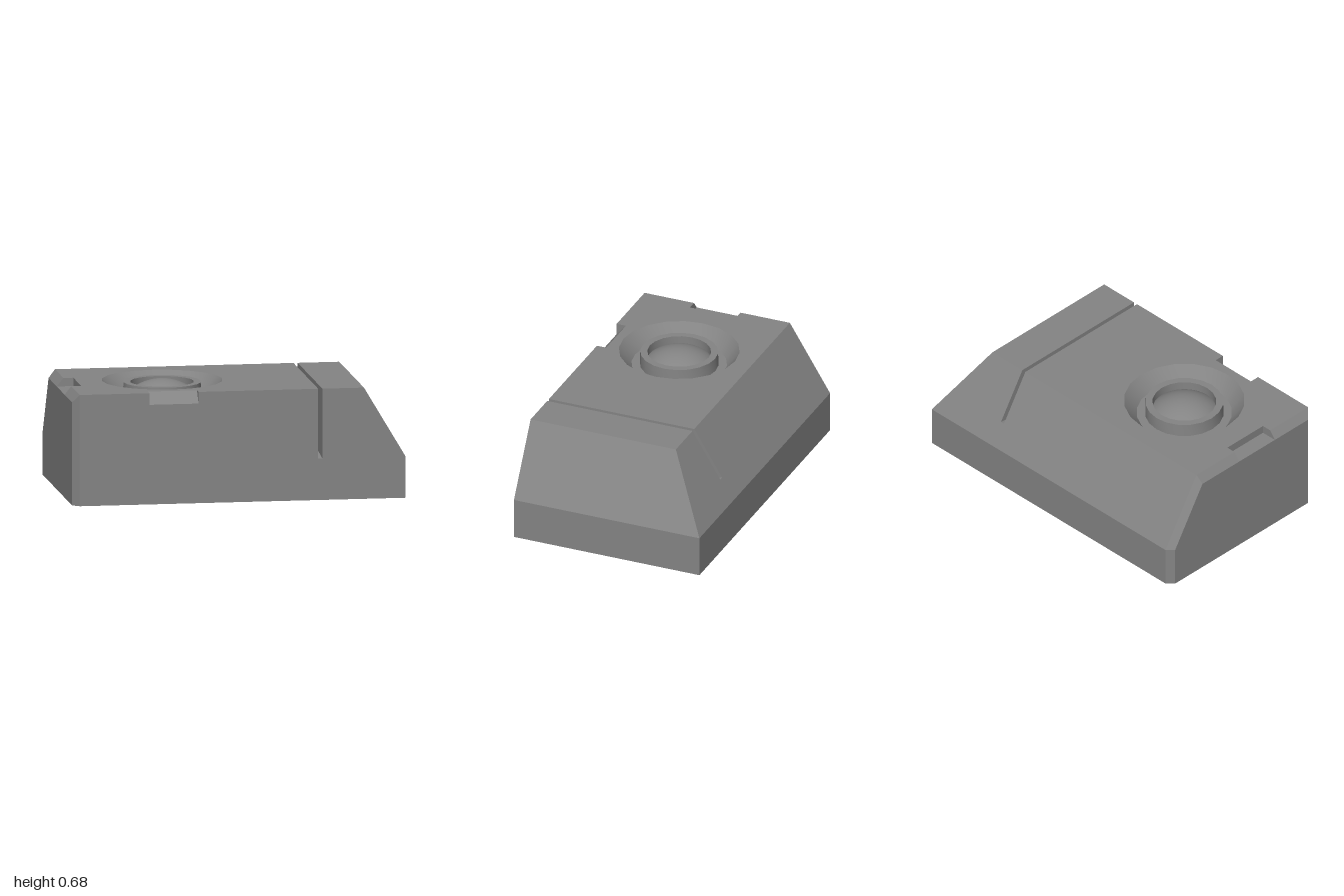
import * as THREE from 'three';
import { toCreasedNormals } from 'three/addons/utils/BufferGeometryUtils.js';

const H = 0.67, E = 0.25;             // top height, start of the slopes
const N = 0.62;                       // floor of the end notch, foot of the end chamfer
const S0 = 0.475, S1 = 0.5;           // slot walls
const CX = -0.39, CZ = 0.13, SIDES = 20; // recess centre

// Flat polygon (with optional hole) whose triangles face along `out`
function face(list, out, pts, hole = []) {
  const n = new THREE.Vector3(...out);
  const size = out.map(Math.abs);
  const drop = size.indexOf(Math.max(...size));
  const flat = (p) => new THREE.Vector2(...p.filter((_, i) => i !== drop));
  const all = [...pts, ...hole].map((p) => new THREE.Vector3(...p));
  const tris = THREE.ShapeUtils.triangulateShape(pts.map(flat), hole.length ? [hole.map(flat)] : []);
  for (const [a, b, c] of tris) {
    const ab = all[b].clone().sub(all[a]);
    const ac = all[c].clone().sub(all[a]);
    const order = ab.cross(ac).dot(n) > 0 ? [a, b, c] : [a, c, b];
    order.forEach((i) => list.push(all[i].x, all[i].y, all[i].z));
  }
}

function toGeometry(list) {
  const g = new THREE.BufferGeometry();
  g.setAttribute('position', new THREE.Float32BufferAttribute(list, 3));
  g.computeVertexNormals();
  return g;
}

// Block with sloped back and side, chamfered end, edge notches and recess opening
function blockGeometry() {
  const f = [];
  // front, cut by the slot and the bevelled notch
  face(f, [0, 0, 1], [[-0.96, 0], [1, 0], [1, E], [0.75, H], [S1, H], [S1, E], [S0, E], [S0, H],
    [-0.245, H], [-0.245, 0.6], [-0.54, 0.6], [-0.54, H], [-0.96, H]].map(([x, y]) => [x, y, 0.6]));
  // top, on both sides of the slot
  const hole = [];
  for (let i = 0; i < SIDES; i++) {
    const a = (i / SIDES) * Math.PI * 2;
    hole.push([CX + 0.36 * Math.sin(a), H, CZ + 0.36 * Math.cos(a)]);
  }
  face(f, [0, 1, 0], [[-0.96, -0.34], [S0, -0.34], [S0, 0.6], [-0.245, 0.6], [-0.245, 0.54],
    [-0.54, 0.54], [-0.54, 0.6], [-0.96, 0.6], [-0.96, 0.28], [-0.9, 0.28], [-0.9, -0.02],
    [-0.96, -0.02]].map(([x, z]) => [x, H, z]), hole);
  face(f, [0, 1, 0], [[S1, H, -0.34], [0.75, H, -0.34], [0.75, H, 0.6], [S1, H, 0.6]]);
  // sloped side and its lower wall
  face(f, [1, 0.6, 0], [[0.75, H, 0.6], [1, E, 0.6], [1, E, -0.6], [0.75, H, -0.34]]);
  face(f, [1, 0, 0], [[1, 0, 0.6], [1, 0, -0.6], [1, E, -0.6], [1, E, 0.6]]);
  // sloped back and its lower wall
  face(f, [0, 0.6, -1], [[-0.96, E, -0.6], [1, E, -0.6], [0.75, H, -0.34], [S1, H, -0.34],
    [S1, 0.38, -0.52], [S0, 0.38, -0.52], [S0, H, -0.34], [-0.96, H, -0.34]]);
  face(f, [0, 0, -1], [[-0.96, 0, -0.6], [1, 0, -0.6], [1, E, -0.6], [-0.96, E, -0.6]]);
  // chamfered end wall
  face(f, [-1, 0, 0], [[-1, 0, -0.56], [-1, 0, 0.56], [-1, N, 0.56], [-1, N, -0.33], [-1, E, -0.56]]);
  face(f, [-1, 0, 0.9], [[-0.96, 0, 0.6], [-1, 0, 0.56], [-1, N, 0.56], [-0.96, H, 0.6]]);
  face(f, [-1, 0, -0.9], [[-0.96, 0, -0.6], [-1, 0, -0.56], [-1, E, -0.56], [-0.96, E, -0.6]]);
  face(f, [-1, 0.5, -0.8], [[-0.96, E, -0.6], [-1, E, -0.56], [-1, N, -0.33], [-0.96, H, -0.34]]);
  face(f, [-1, 0.8, 0], [[-0.96, H, -0.34], [-1, N, -0.33], [-1, N, -0.02], [-0.96, H, -0.02]]);
  face(f, [-1, 0.8, 0], [[-0.96, H, 0.28], [-1, N, 0.28], [-1, N, 0.56], [-0.96, H, 0.6]]);
  // square notch in the end wall
  face(f, [0, 1, 0], [[-1, N, -0.02], [-0.9, N, -0.02], [-0.9, N, 0.28], [-1, N, 0.28]]);
  face(f, [-1, 0, 0], [[-0.9, N, -0.02], [-0.9, H, -0.02], [-0.9, H, 0.28], [-0.9, N, 0.28]]);
  for (const [z, dir] of [[-0.02, 1], [0.28, -1]]) {
    face(f, [0, 0, dir], [[-1, N, z], [-0.9, N, z], [-0.9, H, z], [-0.96, H, z]]);
  }
  // bevelled notch in the front edge
  face(f, [0, 0.8, 1], [[-0.54, 0.6, 0.6], [-0.245, 0.6, 0.6], [-0.245, H, 0.54], [-0.54, H, 0.54]]);
  for (const [x, dir] of [[-0.54, 1], [-0.245, -1]]) {
    face(f, [dir, 0, 0], [[x, 0.6, 0.6], [x, H, 0.6], [x, H, 0.54]]);
  }
  // underside
  face(f, [0, -1, 0], [[-1, 0, -0.56], [-0.96, 0, -0.6], [1, 0, -0.6], [1, 0, 0.6],
    [-0.96, 0, 0.6], [-1, 0, 0.56]]);
  return toGeometry(f);
}

// Narrow slot with a floor rising to the back
function slotGeometry() {
  const f = [];
  face(f, [0, 1, 0.1], [[S0, E, 0.6], [S1, E, 0.6], [S1, 0.38, -0.52], [S0, 0.38, -0.52]]);
  for (const [x, dir] of [[S0, 1], [S1, -1]]) {
    face(f, [dir, 0, 0], [[x, E, 0.6], [x, H, 0.6], [x, H, -0.34], [x, 0.38, -0.52]]);
  }
  return toGeometry(f);
}

export function createModel() {
  const group = new THREE.Group();
  const material = new THREE.MeshStandardMaterial({ color: 0x848484 });

  const add = (name, geometry, x = 0, y = 0, z = 0) => {
    const mesh = new THREE.Mesh(geometry, material);
    mesh.name = name;
    mesh.position.set(x, y, z);
    group.add(mesh);
  };
  // Turned part, smooth around and sharp at its profile corners
  const turned = (pts) =>
    toCreasedNormals(new THREE.LatheGeometry(pts.map((p) => new THREE.Vector2(...p)), SIDES), 0.6);

  add('block', blockGeometry());
  add('slot', slotGeometry());

  // Round recess with a collar and a domed button
  add('recess', turned([[0.36, H], [0.285, 0.58], [0, 0.58]]), CX, 0, CZ);
  add('collar', turned([[0.235, 0.58], [0.232, 0.66], [0.19, 0.66], [0.19, 0.58]]), CX, 0, CZ);
  const R = 0.3;
  add('dome', new THREE.SphereGeometry(R, 40, 12, 0, Math.PI * 2, 0, Math.asin(0.192 / R)),
    CX, 0.676 - R, CZ);

  return group;
}
